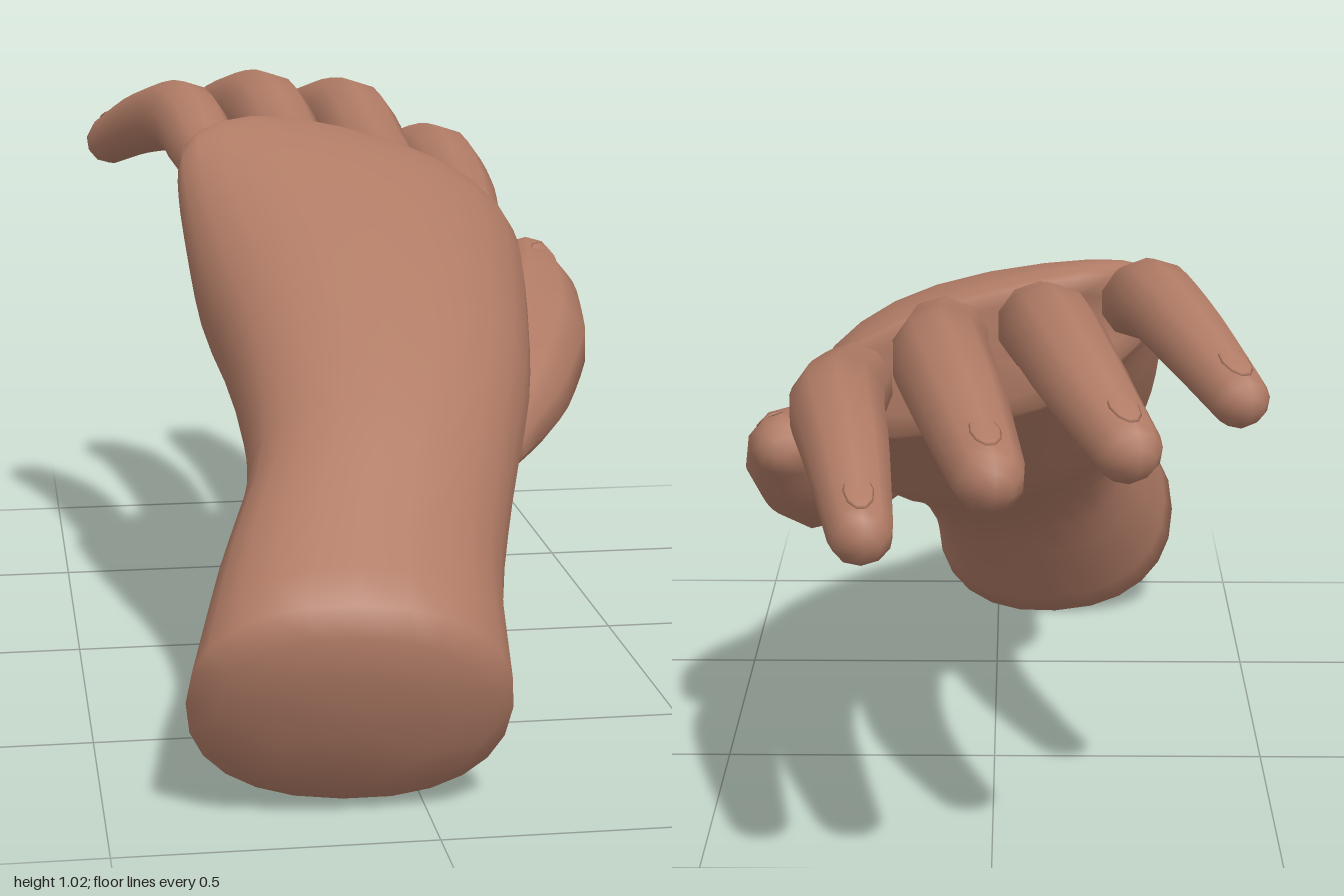
import * as THREE from 'three';

const skin = new THREE.MeshStandardMaterial({ color: 0xb07b65 });
skin.name = 'skin';

// Closed skin over rings of points, with a pole at both ends
function loft(rings, startPole, endPole) {
  const n = rings[0].length;
  const pos = [], idx = [];
  for (const ring of rings) for (const p of ring) pos.push(p.x, p.y, p.z);
  const first = rings.length * n, last = first + 1;
  const end = (rings.length - 1) * n;
  pos.push(...startPole.toArray(), ...endPole.toArray());
  for (let j = 0; j < n; j++) {
    const k = (j + 1) % n;
    for (let i = 0; i < rings.length - 1; i++) {
      const a = i * n + j, b = i * n + k, c = a + n, d = b + n;
      idx.push(a, b, c, b, d, c);
    }
    idx.push(first, k, j, end + j, end + k, last);
  }
  const geo = new THREE.BufferGeometry();
  geo.setAttribute('position', new THREE.Float32BufferAttribute(pos, 3));
  geo.setIndex(idx);
  geo.computeVertexNormals();
  return geo;
}

function mesh(name, geo) {
  const m = new THREE.Mesh(geo, skin);
  m.name = name;
  return m;
}

// Forearm stub, wrist and back of hand as slanted rounded sections
// [topY, topZ, bottomY, bottomZ, xMin, xMax, tilt, outer-edge recess]
const SECTIONS = [
  [0.375, 0.995, 0.0, 0.81, -0.377, 0.13, -0.06, 0],
  [0.495, 0.82, 0.125, 0.705, -0.318, 0.14, -0.06, 0],
  [0.61, 0.65, 0.265, 0.57, -0.25, 0.185, -0.08, 0],
  [0.75, 0.41, 0.375, 0.36, -0.252, 0.258, -0.1, 0],
  [0.857, 0.2, 0.46, 0.15, -0.291, 0.3, -0.14, 0],
  [0.93, 0.01, 0.58, 0.0, -0.307, 0.322, -0.2, 0.25],
  [0.945, -0.12, 0.67, -0.12, -0.305, 0.32, -0.25, 0.6],
  [0.93, -0.175, 0.7, -0.165, -0.29, 0.31, -0.25, 0.7],
];

function palmRing([ty, tz, by, bz, x0, x1, tilt, recess], scale = 1, push = 0) {
  const ring = [], n = 24;
  const round = (v) => Math.sign(v) * Math.abs(v) ** 0.88;
  for (let j = 0; j < n; j++) {
    const a = (j / n) * Math.PI * 2;
    const c = -round(Math.cos(a)) * scale, s = round(Math.sin(a)) * scale;
    const dx = c * (x1 - x0) / 2, x = (x0 + x1) / 2 + dx;
    ring.push(new THREE.Vector3(
      x,
      (ty + by) / 2 + s * (ty - by) / 2 + tilt * dx - push * 0.46,
      (tz + bz) / 2 + s * (tz - bz) / 2 + recess * Math.max(0, -x - 0.12) + push * 0.89,
    ));
  }
  return ring;
}

// Smooth rings: each point follows a curve through the sections
function buildPalm() {
  const coarse = SECTIONS.map((s) => palmRing(s));
  const lines = coarse[0].map((_, j) => new THREE.CatmullRomCurve3(coarse.map((r) => r[j])));
  const steps = (SECTIONS.length - 1) * 3;
  const body = Array.from({ length: steps + 1 }, (_, i) => lines.map((l) => l.getPoint(i / steps)));
  const wrist = SECTIONS[0], front = SECTIONS[SECTIONS.length - 1];
  const rings = [
    palmRing(wrist, 0.5, 0.052),
    palmRing(wrist, 0.82, 0.032),
    ...body,
    palmRing(front, 0.75, -0.012),
  ];
  return loft(rings, new THREE.Vector3(-0.122, 0.16, 0.955), new THREE.Vector3(0, 0.81, -0.175));
}

// Tapered digit along [x, y, z, radius] points with a rounded tip
function buildDigit(points) {
  const curve = new THREE.CatmullRomCurve3(points.map((p) => new THREE.Vector3(p[0], p[1], p[2])));
  const n = 10, steps = 14, rings = [];
  const up = new THREE.Vector3(0, 1, 0);
  const ringAt = (center, dir, r) => {
    const u = up.clone().cross(dir).normalize();
    const v = dir.clone().cross(u);
    return Array.from({ length: n }, (_, j) => {
      const a = ((j + 0.5) / n) * Math.PI * 2;
      return center.clone()
        .addScaledVector(u, Math.cos(a) * r)
        .addScaledVector(v, Math.sin(a) * r);
    });
  };
  for (let i = 0; i <= steps; i++) {
    const t = i / steps, f = t * (points.length - 1);
    const k = Math.min(Math.floor(f), points.length - 2);
    const r = THREE.MathUtils.lerp(points[k][3], points[k + 1][3], f - k);
    rings.push(ringAt(curve.getPoint(t), curve.getTangent(t), r));
  }
  const tip = curve.getPoint(1), dir = curve.getTangent(1), r = points[points.length - 1][3];
  for (const a of [0.5, 1.0]) {
    rings.push(ringAt(tip.clone().addScaledVector(dir, r * Math.sin(a)), dir, r * Math.cos(a)));
  }
  return loft(rings, curve.getPoint(0), tip.clone().addScaledVector(dir, r));
}

// Small flattened nail sunk into the digit's tip, facing the given direction
function buildNail(points, facing, width) {
  const [x, y, z, r] = points[points.length - 1];
  const prev = points[points.length - 2];
  const along = new THREE.Vector3(x - prev[0], y - prev[1], z - prev[2]).normalize();
  const side = facing.clone().cross(along).normalize();
  const out = along.clone().cross(side);
  const geo = new THREE.SphereGeometry(1, 10, 6);
  geo.scale(width, 0.005, 0.045);
  geo.applyMatrix4(new THREE.Matrix4().makeBasis(side, out, along));
  const c = new THREE.Vector3(x, y, z).addScaledVector(out, r * 0.98).addScaledVector(along, -0.035);
  geo.translate(c.x, c.y, c.z);
  return geo;
}

const DIGITS = {
  indexFinger: [[0.235, 0.765, -0.09, 0.065], [0.25, 0.785, -0.28, 0.076], [0.25, 0.815, -0.5, 0.081],
    [0.222, 0.797, -0.7, 0.069], [0.193, 0.728, -0.872, 0.052]],
  middleFinger: [[0.085, 0.83, -0.08, 0.08], [0.085, 0.865, -0.3, 0.079], [0.08, 0.905, -0.53, 0.081],
    [0.045, 0.888, -0.74, 0.074], [0, 0.838, -0.943, 0.057]],
  ringFinger: [[-0.08, 0.86, -0.08, 0.077], [-0.083, 0.895, -0.27, 0.075], [-0.098, 0.933, -0.46, 0.079],
    [-0.14, 0.913, -0.67, 0.071], [-0.207, 0.85, -0.84, 0.054]],
  littleFinger: [[-0.235, 0.865, 0.03, 0.04], [-0.247, 0.905, -0.12, 0.064], [-0.272, 0.947, -0.28, 0.069],
    [-0.325, 0.922, -0.45, 0.062], [-0.392, 0.865, -0.608, 0.048]],
  thumb: [[0.2, 0.46, 0.38, 0.055], [0.265, 0.505, 0.22, 0.096], [0.325, 0.56, 0.03, 0.115],
    [0.355, 0.62, -0.1, 0.093], [0.368, 0.66, -0.183, 0.06]],
};

export function createModel() {
  const hand = new THREE.Group();
  hand.name = 'hand';
  hand.add(mesh('palmAndWrist', buildPalm()));
  for (const [name, points] of Object.entries(DIGITS)) {
    const isThumb = name === 'thumb';
    const facing = isThumb ? new THREE.Vector3(0.5, 0.9, 0) : new THREE.Vector3(0, 1, 0);
    hand.add(mesh(name, buildDigit(points)));
    hand.add(mesh(name + 'Nail', buildNail(points, facing, isThumb ? 0.032 : 0.024)));
  }
  return hand;
}
